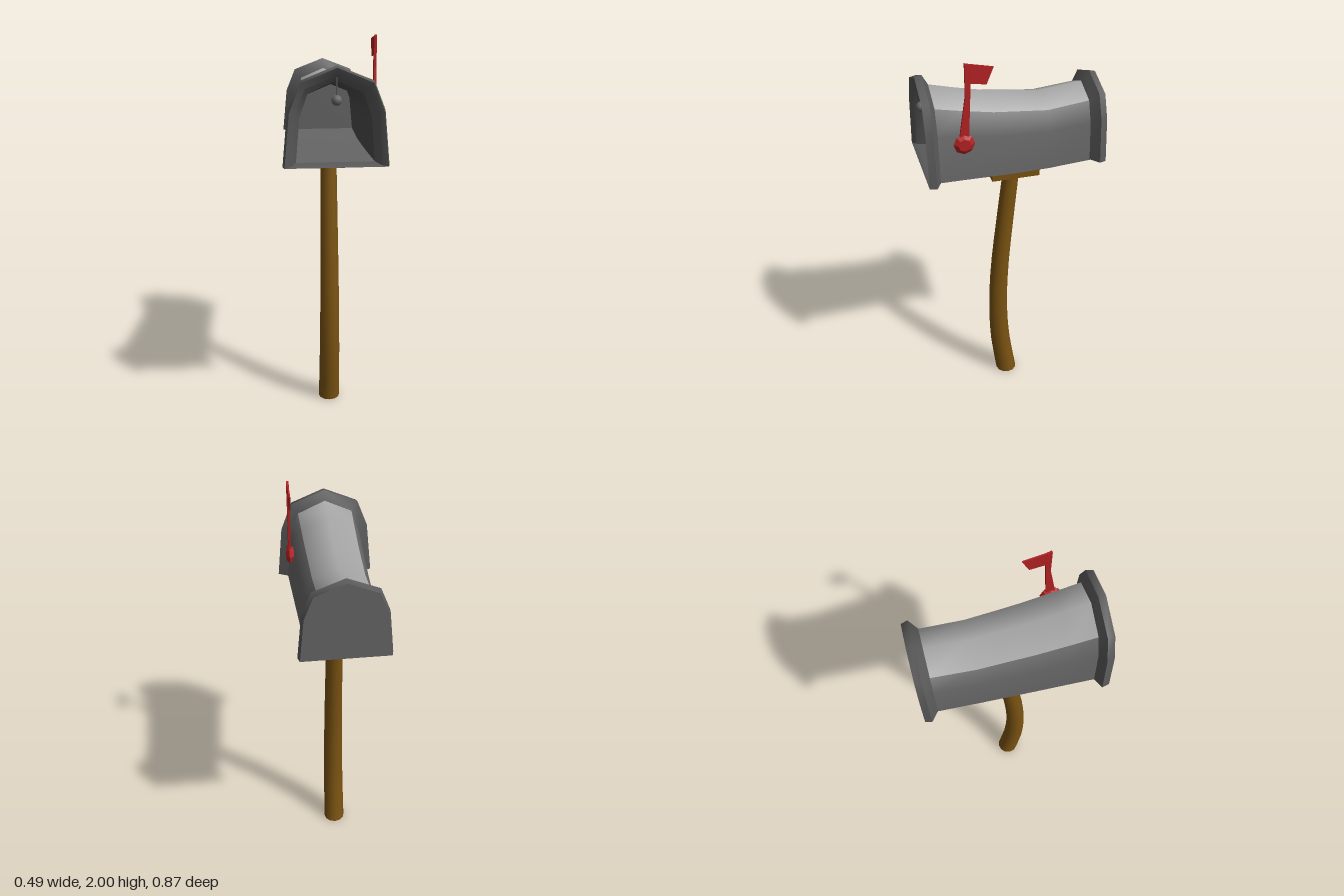
import * as THREE from 'three';
import { toCreasedNormals } from 'three/addons/utils/BufferGeometryUtils.js';

const paint = (name, color) => {
  const m = new THREE.MeshStandardMaterial({ color });
  m.name = name;
  return m;
};

// Arched outline, right foot to left foot, as fractions of half width and height
const ARCH = [[1, 0], [0.9, 0.56], [0.69, 0.85], [0, 1], [-0.69, 0.85], [-0.9, 0.56], [-1, 0]];
const ring = ([, w, bottom, top]) => ARCH.map(([u, v]) => [u * w, bottom + v * (top - bottom)]);

// Skin over arched sections [z, half width, bottom, top]; one group per strip of the arch
function loft(sections, slots) {
  const n = ARCH.length;
  const pos = sections.flatMap((s) => ring(s).flatMap(([x, y]) => [x, y, s[0]]));
  const index = [];
  const geo = new THREE.BufferGeometry();
  for (let j = 0; j < n; j++) {
    const start = index.length;
    const k = (j + 1) % n;
    for (let i = 0; i < sections.length - 1; i++) {
      const a = i * n, b = a + n;
      index.push(a + j, b + j, b + k, a + j, b + k, a + k);
    }
    geo.addGroup(start, index.length - start, slots[j]);
  }
  geo.setAttribute('position', new THREE.Float32BufferAttribute(pos, 3));
  geo.setIndex(index);
  return toCreasedNormals(geo, 0.85);
}

// Flat wall filling one arched section
function wall(section, facingBack) {
  const geo = new THREE.ShapeGeometry(new THREE.Shape(ring(section).map(([x, y]) => new THREE.Vector2(x, y))));
  if (facingBack) geo.rotateY(Math.PI);
  return geo.translate(0, 0, section[0]);
}

export function createModel() {
  const model = new THREE.Group();
  model.name = 'mailbox';
  const metal = paint('grey metal', 0x666666);
  const roof = paint('light roof metal', 0xa6a6a6);
  const rimMetal = paint('rim metal', 0x5a5a5a);
  const inside = paint('dark inside', 0x4c4c4c);
  const wood = paint('brown wood', 0x7a5312);
  const darkWood = paint('dark wood', 0x452f0a);
  const red = paint('flag red', 0xb52224);

  const add = (name, geo, material, parent = model) => {
    const mesh = new THREE.Mesh(geo, material);
    mesh.name = name;
    parent.add(mesh);
    return mesh;
  };

  // Sagging box shell with a lighter roof
  add('boxShell', loft([
    [0.375, 0.197, 1.434, 1.84], [0.25, 0.192, 1.43, 1.81], [0.1, 0.186, 1.424, 1.778],
    [-0.03, 0.181, 1.421, 1.763], [-0.16, 0.177, 1.421, 1.748], [-0.375, 0.172, 1.432, 1.773],
  ], [0, 0, 1, 1, 0, 0, 0]), [metal, roof]);

  // Hollow interior, open at the front
  const innerBack = [-0.37, 0.16, 1.442, 1.745];
  add('boxInside', loft([
    innerBack, [-0.16, 0.163, 1.432, 1.728], [0.1, 0.172, 1.434, 1.758], [0.36, 0.182, 1.442, 1.815],
  ], [0, 0, 0, 0, 0, 0, 1]), [inside, metal]);
  add('insideBackWall', wall(innerBack, false), metal);

  // Flared rims at both ends
  const plain = ARCH.map(() => 0);
  add('frontRim', loft([
    [0.36, 0.182, 1.442, 1.815], [0.41, 0.2, 1.44, 1.838], [0.422, 0.212, 1.438, 1.855],
    [0.433, 0.237, 1.434, 1.88], [0.398, 0.245, 1.434, 1.886], [0.372, 0.196, 1.434, 1.84],
  ], plain), [rimMetal]);
  const backEnd = [-0.434, 0.208, 1.434, 1.812];
  add('backRim', loft([
    [-0.365, 0.172, 1.434, 1.772], [-0.402, 0.217, 1.434, 1.82], backEnd,
  ], plain), [rimMetal]);
  add('backPanel', wall(backEnd, true), metal);

  // Latch knob hanging in the opening
  add('latchKnob', new THREE.SphereGeometry(0.024, 12, 8).translate(0, 1.735, 0.41), metal);
  add('latchStem', new THREE.CylinderGeometry(0.004, 0.004, 0.1, 6).translate(0, 1.79, 0.405), rimMetal);

  // Mounting block with a dark underside
  add('mountBlock', new THREE.BoxGeometry(0.21, 0.085, 0.24).translate(0, 1.3875, -0.015),
    [wood, wood, wood, darkWood, wood, wood]);

  // Bent tapering post
  const bend = new THREE.CatmullRomCurve3([
    [0, 0.01], [0.25, 0.044], [0.5, 0.054], [0.75, 0.043], [1.05, 0.013], [1.36, -0.022],
  ].map(([y, z]) => new THREE.Vector3(0, y, z)));
  const path = bend.getPoints(60);
  const post = new THREE.CylinderGeometry(0.041, 0.057, 1.36, 12, 12).translate(0, 0.68, 0);
  const p = post.attributes.position;
  for (let i = 0; i < p.count; i++) {
    const y = p.getY(i);
    const k = Math.max(1, path.findIndex((q) => q.y >= y - 1e-6));
    const a = path[k - 1], b = path[k];
    p.setZ(i, p.getZ(i) + THREE.MathUtils.mapLinear(y, a.y, b.y, a.z, b.z));
  }
  add('post', toCreasedNormals(post, 0.9), wood);

  // Raised signal flag on the left side
  const flag = new THREE.Group();
  flag.name = 'signalFlag';
  model.add(flag);
  const plate = (name, points, x, depth) => {
    const shape = new THREE.Shape(points.map(([z, y]) => new THREE.Vector2(-z, y)));
    const geo = new THREE.ExtrudeGeometry(shape, { depth, bevelEnabled: false });
    add(name, geo.rotateY(Math.PI / 2).translate(x, 0, 0), red, flag);
  };
  plate('flagArm', [[0.278, 1.64], [0.234, 1.64], [0.22, 1.9], [0.222, 1.99], [0.245, 2], [0.245, 1.85]], 0.186, 0.012);
  plate('flagPennant', [[0.235, 1.907], [0.148, 1.895], [0.116, 1.972], [0.235, 1.997]], 0.188, 0.007);
  const hub = new THREE.CylinderGeometry(0.03, 0.05, 0.014, 8).rotateZ(-Math.PI / 2);
  add('flagHub', toCreasedNormals(hub.translate(0.202, 1.618, 0.256), 0.3), red, flag);
  const pivot = new THREE.CylinderGeometry(0.05, 0.03, 0.025, 8).rotateZ(-Math.PI / 2);
  add('flagPivot', toCreasedNormals(pivot.translate(0.1825, 1.618, 0.256), 0.3), red, flag);

  return model;
}
